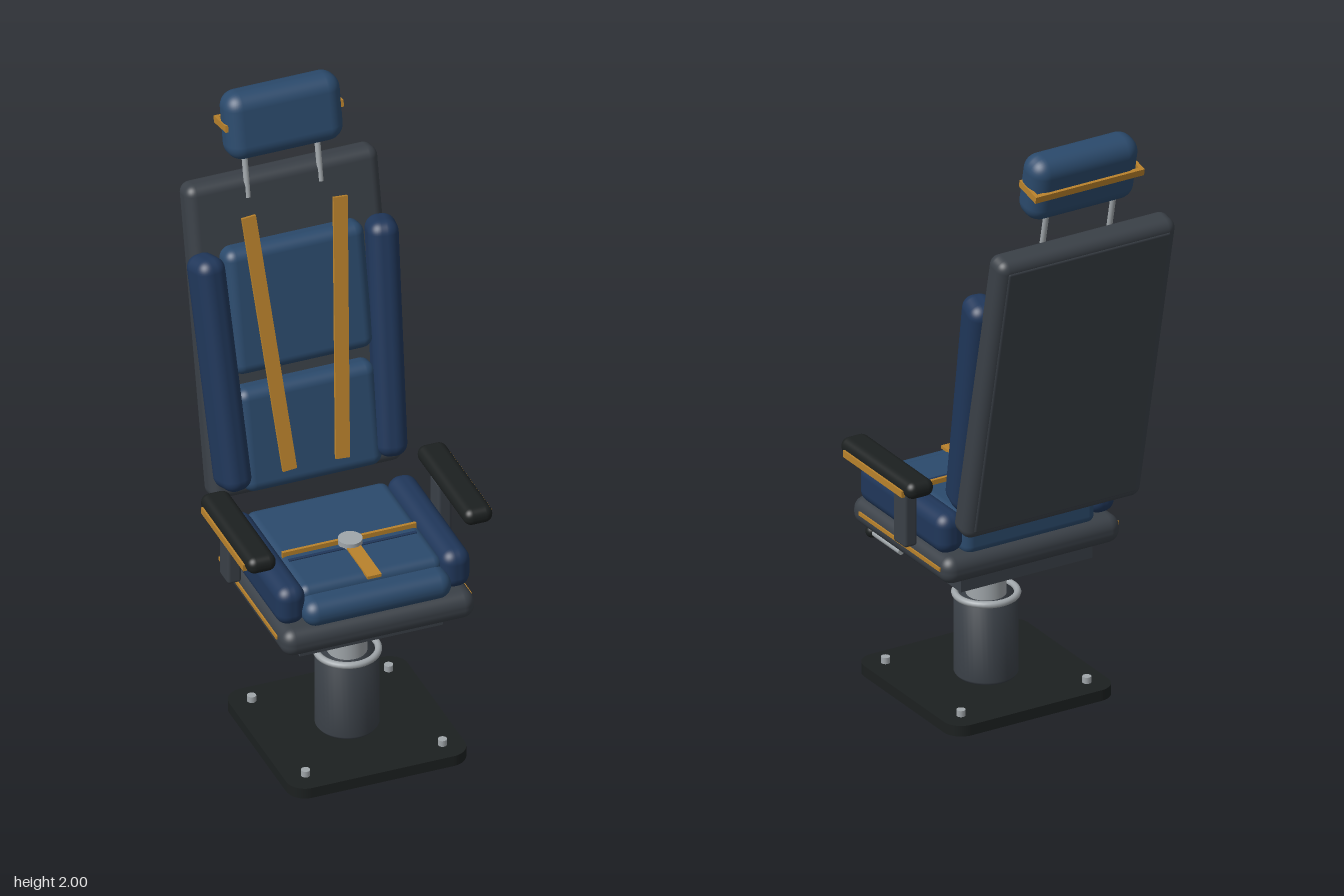
import * as THREE from 'three';
import { RoundedBoxGeometry } from 'three/addons/geometries/RoundedBoxGeometry.js';

const mat = (color) => new THREE.MeshStandardMaterial({ color });
const blue = mat(0x2b4a6c), darkBlue = mat(0x20375a), grey = mat(0x3a4047),
  black = mat(0x1c2020), amber = mat(0xb9822c), metal = mat(0xa0a6aa);

function add(parent, name, geometry, material, x = 0, y = 0, z = 0) {
  const mesh = new THREE.Mesh(geometry, material);
  mesh.name = name;
  mesh.position.set(x, y, z);
  parent.add(mesh);
  return mesh;
}
const soft = (w, h, d, r) => new RoundedBoxGeometry(w, h, d, 5, r);
const box = (w, h, d) => new THREE.BoxGeometry(w, h, d);
const cyl = (r, h, n = 40) => new THREE.CylinderGeometry(r, r, h, n);

// Flat slab with rounded corners, lying in the ground plane
function plate(half, radius, height) {
  const a = half - radius, s = new THREE.Shape();
  s.absarc(a, a, radius, 0, Math.PI / 2);
  s.absarc(-a, a, radius, Math.PI / 2, Math.PI);
  s.absarc(-a, -a, radius, Math.PI, Math.PI * 1.5);
  s.absarc(a, -a, radius, Math.PI * 1.5, Math.PI * 2);
  return new THREE.ExtrudeGeometry(s, { depth: height, bevelEnabled: false, curveSegments: 8 }).rotateX(-Math.PI / 2);
}

function createPedestal() {
  const g = new THREE.Group();
  g.name = 'pedestal';
  g.position.z = 0.155;
  add(g, 'basePlate', plate(0.287, 0.06, 0.035), black);
  for (const x of [-0.22, 0.22])
    for (const z of [-0.215, 0.215]) add(g, 'bolt', cyl(0.014, 0.024, 12), metal, x, 0.043, z);
  // Column with softened rims
  const column = [[0, 0.035], [0.09, 0.035], [0.097, 0.045], [0.097, 0.3], [0, 0.3]];
  add(g, 'column', new THREE.LatheGeometry(column.map(([r, y]) => new THREE.Vector2(r, y)), 40), grey).material.flatShading = false;
  add(g, 'collar', new THREE.TorusGeometry(0.094, 0.011, 10, 40).rotateX(Math.PI / 2), metal, 0, 0.302, 0);
  add(g, 'piston', cyl(0.061, 0.17), metal, 0, 0.37, 0);
  return g;
}

function createSeat() {
  const g = new THREE.Group();
  g.name = 'seat';
  add(g, 'underframe', box(0.46, 0.055, 0.425), grey, 0, 0.477, 0.137);
  add(g, 'seatPan', soft(0.62, 0.09, 0.555, 0.04), grey, 0, 0.543, 0.153);
  add(g, 'seatCushion', soft(0.46, 0.12, 0.465, 0.03), blue, 0, 0.634, 0.128);
  // Rolled front edge
  add(g, 'frontRoll', soft(0.475, 0.086, 0.12, 0.042), blue, 0, 0.627, 0.37);
  add(g, 'seam', box(0.41, 0.006, 0.011), darkBlue, 0, 0.694, 0.2);
  for (const s of [-1, 1]) {
    add(g, 'seatBolster', soft(0.092, 0.13, 0.485, 0.04), darkBlue, s * 0.265, 0.652, 0.148);
    add(g, 'panTrim', box(0.01, 0.012, 0.46), amber, s * 0.309, 0.55, 0.14);
  }
  // Lap belt, crotch strap and round buckle
  add(g, 'lapBelt', box(0.43, 0.03, 0.01), amber, 0, 0.694, 0.17);
  add(g, 'crotchStrap', box(0.045, 0.01, 0.185), amber, 0, 0.695, 0.283);
  add(g, 'buckle', cyl(0.037, 0.018, 32), metal, 0, 0.704, 0.18);
  // Adjusting lever under the left edge
  add(g, 'lever', cyl(0.011, 0.16, 16).rotateX(Math.PI / 2), metal, 0.278, 0.491, 0.265);
  add(g, 'leverKnob', new THREE.SphereGeometry(0.02, 20, 14), black, 0.278, 0.491, 0.352);
  return g;
}

function createArmrest(s) {
  const g = new THREE.Group();
  g.name = s > 0 ? 'leftArmrest' : 'rightArmrest';
  add(g, 'armPost', soft(0.045, 0.19, 0.07, 0.01), grey, s * 0.338, 0.678, 0.065);
  add(g, 'armPad', soft(0.092, 0.055, 0.408, 0.026), black, s * 0.348, 0.803, 0.152);
  add(g, 'armTrim', box(0.012, 0.022, 0.335), amber, s * 0.394, 0.79, 0.152);
  return g;
}

function createBack() {
  const g = new THREE.Group();
  g.name = 'backrest';
  g.position.set(0, 1.2, -0.293);
  g.rotation.x = -0.21;
  add(g, 'backShell', soft(0.62, 1.017, 0.09, 0.033), grey);
  add(g, 'backPanel', soft(0.57, 0.96, 0.02, 0.009), grey, 0, 0, -0.038);
  add(g, 'lowerCushion', soft(0.445, 0.335, 0.1, 0.035), blue, 0, -0.315, 0.057);
  add(g, 'upperCushion', soft(0.45, 0.405, 0.1, 0.035), blue, 0, 0.1, 0.057);
  for (const s of [-1, 1]) {
    const strap = add(g, 'shoulderStrap', box(0.045, 0.835, 0.01), amber, s * 0.116, -0.007, 0.115);
    strap.rotation.z = -s * 0.075;
    add(g, 'headrestPost', cyl(0.009, 0.22, 16), metal, s * 0.117, 0.55, 0.04);
    add(g, 'headrestTrimSide', box(0.012, 0.022, 0.095), amber, s * 0.184, 0.695, 0.05);
  }
  add(g, 'headrest', soft(0.372, 0.215, 0.115, 0.05), blue, 0, 0.691, 0.068);
  add(g, 'headrestTrimBack', box(0.38, 0.022, 0.014), amber, 0, 0.695, 0.008);
  return g;
}

export function createModel() {
  const model = new THREE.Group();
  model.name = 'chair';
  model.add(createPedestal(), createSeat(), createBack());
  for (const s of [-1, 1]) {
    model.add(createArmrest(s));
    // Side bolsters lean with the back and turn inward
    const bolster = add(model, 'backBolster', soft(0.095, 0.76, 0.12, 0.04), darkBlue, s * 0.268, 1.138, -0.2);
    bolster.rotation.set(-0.21, -s * 0.2, 0, 'YXZ');
  }
  return model;
}
